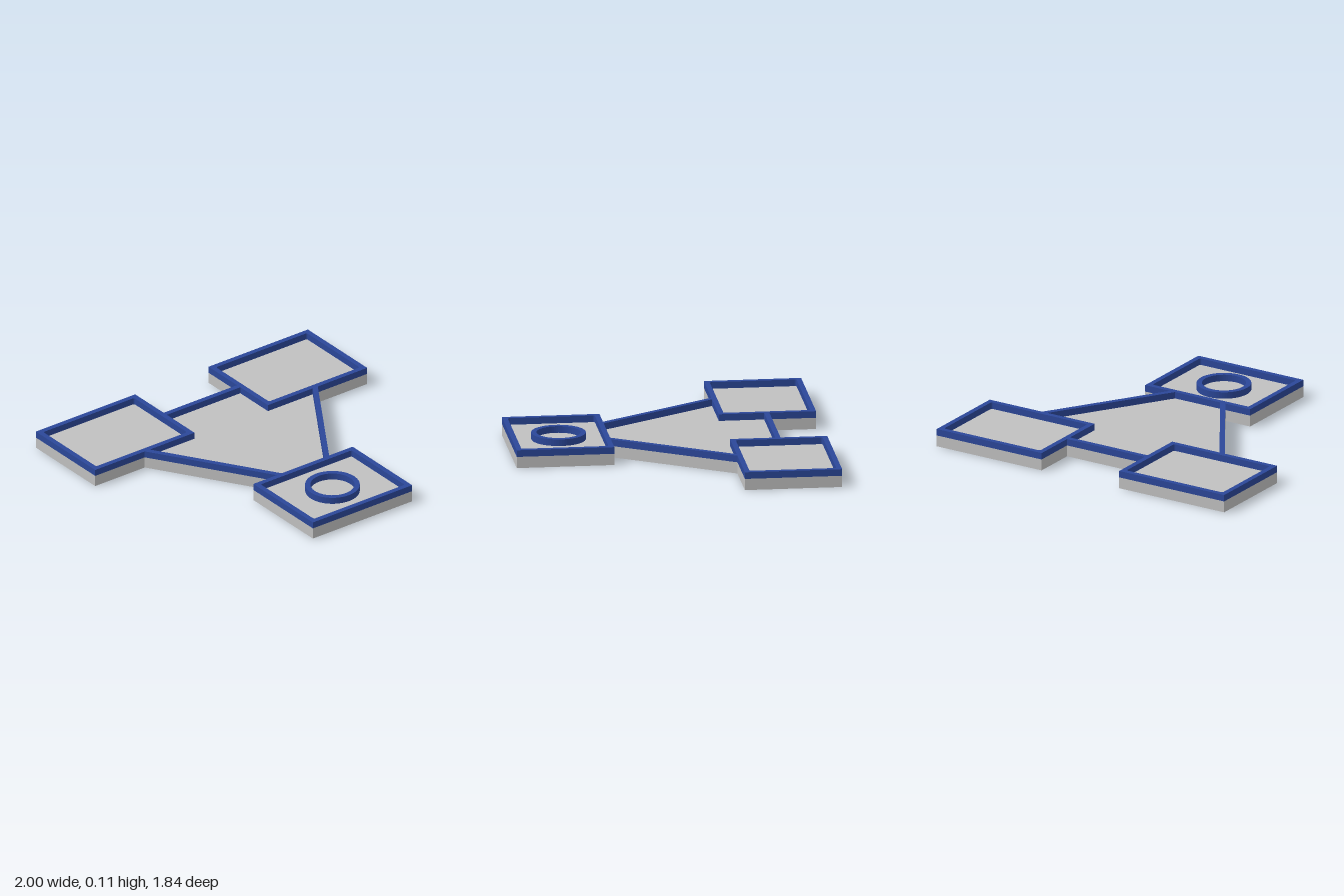
import * as THREE from 'three';

const BASE = 0.068, TOP = 0.108, RIM = 0.031;

const grey = new THREE.MeshStandardMaterial({ color: 0xc0c0c0 });
grey.name = 'light grey';
const blue = new THREE.MeshStandardMaterial({ color: 0x2b4799 });
blue.name = 'blue';

// Plan points are [x, z]; the shape plane is (x, -z) so it can be laid flat.
const plan = (points) => new THREE.Shape(points.map(([x, z]) => new THREE.Vector2(x, -z)));

function slab(name, shape, y0, y1, material) {
  const geometry = new THREE.ExtrudeGeometry(shape, { depth: y1 - y0, bevelEnabled: false, curveSegments: 32 });
  geometry.rotateX(-Math.PI / 2).translate(0, y0, 0);
  const mesh = new THREE.Mesh(geometry, material);
  mesh.name = name;
  return mesh;
}

// Rectangular frame whose inner corners are slightly rounded
function frameShape(x0, x1, z0, z1) {
  const shape = plan([[x0, z0], [x0, z1], [x1, z1], [x1, z0]]);
  const l = x0 + RIM, r = x1 - RIM, b = -z1 + RIM, t = -z0 - RIM, c = 0.014;
  const hole = new THREE.Path();
  hole.moveTo(l + c, b);
  hole.lineTo(r - c, b).quadraticCurveTo(r, b, r, b + c);
  hole.lineTo(r, t - c).quadraticCurveTo(r, t, r - c, t);
  hole.lineTo(l + c, t).quadraticCurveTo(l, t, l, t - c);
  hole.lineTo(l, b + c).quadraticCurveTo(l, b, l + c, b);
  shape.holes.push(hole);
  return shape;
}

export function createModel() {
  const model = new THREE.Group();
  model.name = 'threePadTray';

  // Base plate: half outline mirrored across x
  const half = [
    [0.27, -0.645], [0.27, -0.92], [1, -0.92], [1, -0.347], [0.636, -0.347],
    [0.193, 0.345], [0.365, 0.345], [0.365, 0.92],
  ];
  const outline = [...half, ...half.map(([x, z]) => [-x, z]).reverse()];
  model.add(slab('basePlate', plan(outline), 0, BASE, grey));

  // Raised frames around the three pads
  model.add(slab('leftPadFrame', frameShape(0.27, 1, -0.92, -0.347), BASE, TOP, blue));
  model.add(slab('rightPadFrame', frameShape(-1, -0.27, -0.92, -0.347), BASE, TOP, blue));
  model.add(slab('frontPadFrame', frameShape(-0.365, 0.365, 0.345, 0.92), BASE, TOP, blue));

  // Rims along the open edges of the centre
  const back = [[-0.27, -0.645], [-0.27, -0.645 + RIM], [0.27, -0.645 + RIM], [0.27, -0.645]];
  model.add(slab('backRim', plan(back), BASE, TOP, blue));
  for (const s of [1, -1]) {
    const edge = [[0.636, -0.347], [0.599, -0.347], [0.156, 0.345], [0.193, 0.345]];
    model.add(slab(s > 0 ? 'leftRim' : 'rightRim', plan(edge.map(([x, z]) => [s * x, z])), BASE, TOP, blue));
  }

  // Round holder on the front pad
  const ring = new THREE.Shape().absarc(0, -0.63, 0.16, 0, Math.PI * 2);
  ring.holes.push(new THREE.Path().absarc(0, -0.63, 0.129, 0, Math.PI * 2));
  model.add(slab('ringHolder', ring, BASE, TOP, blue));

  return model;
}
